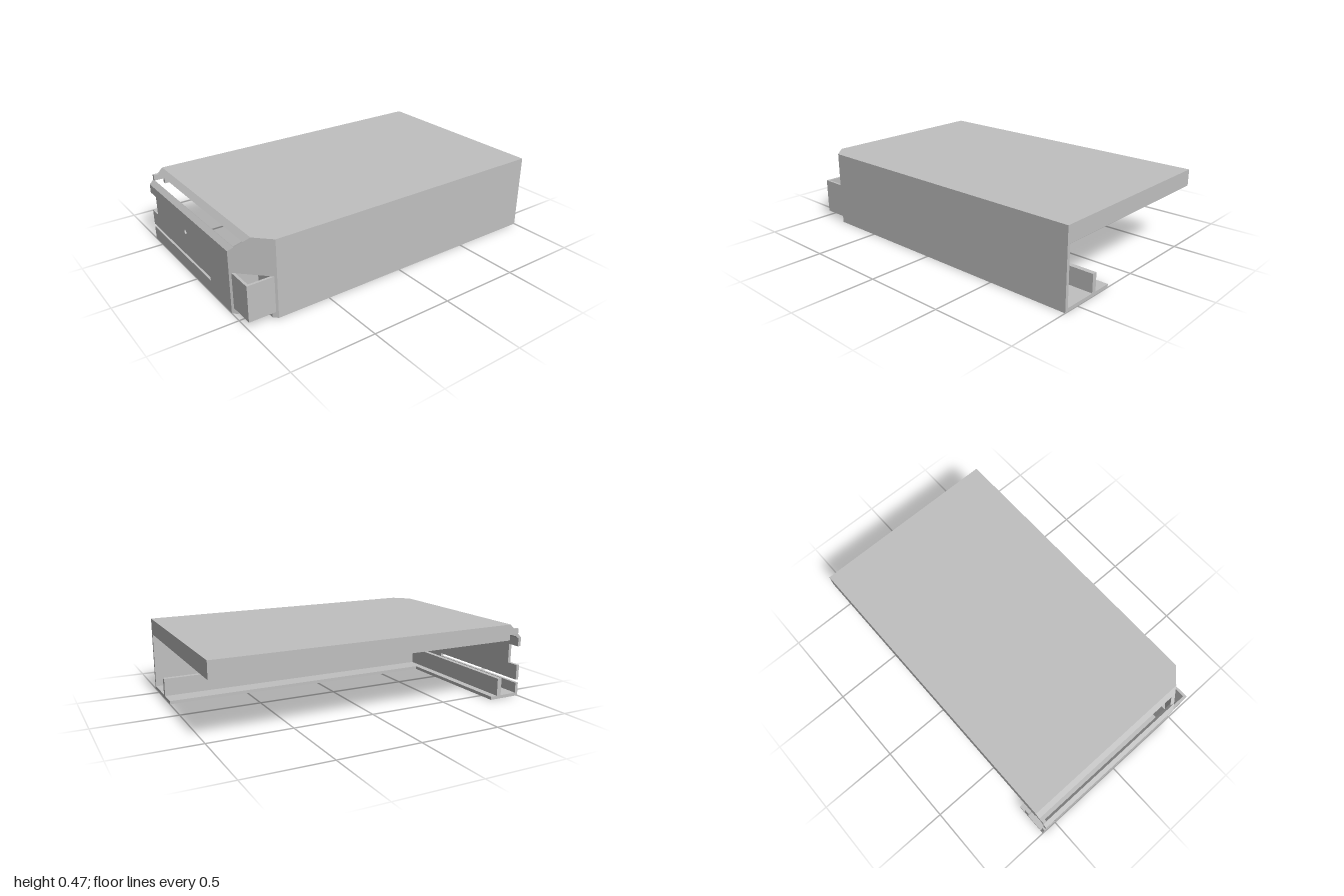
import * as THREE from 'three';

const grey = new THREE.MeshStandardMaterial({ color: 0xc0c0c0 });
grey.name = 'painted sheet grey';

const T = 0.02; // sheet thickness

const shapeOf = (pts) => new THREE.Shape(pts.map(([a, b]) => new THREE.Vector2(a, b)));
const extrude = (shape, depth) =>
  new THREE.ExtrudeGeometry(shape, { depth, bevelEnabled: false, curveSegments: 12 });

export function createModel() {
  const model = new THREE.Group();
  model.name = 'openHousing';

  const add = (name, geometry) => {
    const mesh = new THREE.Mesh(geometry, grey);
    mesh.name = name;
    model.add(mesh);
    return mesh;
  };

  // Box given by its limits on each axis
  const block = (name, [x0, x1], [y0, y1], [z0, z1]) =>
    add(name, new THREE.BoxGeometry(x1 - x0, y1 - y0, z1 - z0)
      .translate((x0 + x1) / 2, (y0 + y1) / 2, (z0 + z1) / 2));

  // Horizontal plate from an [x, z] outline
  const plate = (name, outline, y, h) =>
    add(name, extrude(shapeOf(outline.map(([x, z]) => [x, -z])), h)
      .rotateX(-Math.PI / 2).translate(0, y, 0));

  // Bar along x from a [z, y] section, mitred against the diagonal corner
  const mitredBar = (name, section) => {
    const g = extrude(shapeOf(section.map(([z, y]) => [-z, y])), 1).rotateY(Math.PI / 2);
    const p = g.attributes.position;
    for (let i = 0; i < p.count; i++) {
      p.setX(i, p.getX(i) > 0.5 ? 1.42 - p.getZ(i) : -0.6);
    }
    g.computeVertexNormals();
    return add(name, g);
  };

  // Top and floor
  plate('topPanel', [[-0.6, -1], [0.6, -1], [0.6, 0.82], [0.51, 0.91], [-0.6, 0.91]], 0.465 - T, T);
  plate('floor', [
    [-0.6, 1], [0.42, 1], [0.445, 0.975], [0.445, 0.845], [0.575, 0.845], [0.6, 0.82],
    [0.6, -1], [0.225, -1], [0.225, 0.79], [-0.6, 0.79],
  ], 0, T);

  // Side wall and the lips hanging from the top
  block('sideWall', [0.6 - T, 0.6], [0, 0.465], [-1, 0.82]);
  block('backLip', [-0.6, 0.6], [0.365, 0.465], [-1, -1 + T]);
  block('sideLip', [-0.6, -0.6 + T], [0.365, 0.465], [-1, 0.91]);
  block('sideLipEnd', [-0.6, -0.6 + T], [0.4, 0.435], [0.9, 0.975]);

  // Front panel with edge notch, long slit and round hole
  const front = shapeOf([
    [-0.6, 0], [0.42, 0], [0.42, 0.375], [-0.6, 0.375], [-0.6, 0.32], [-0.52, 0.32],
    [-0.52, 0.2], [-0.6, 0.2], [-0.6, 0.105], [0.187, 0.105], [0.187, 0.085], [-0.6, 0.085],
  ]);
  front.holes.push(new THREE.Path().absarc(-0.105, 0.26, 0.014, 0, Math.PI * 2, true));
  add('frontPanel', extrude(front, T).translate(0, 0, 1 - T));

  // Sloped strips above and below the long top slot
  mitredBar('lowerSlopeStrip', [[1, 0.375], [0.975, 0.4], [0.961, 0.386], [0.972, 0.375]]);
  mitredBar('upperSlopeStrip', [[0.94, 0.435], [0.91, 0.465], [0.896, 0.445], [0.926, 0.421]]);

  // Diagonal corner wall with a doorway for the duct
  const L = 0.18 * Math.SQRT2;
  const corner = shapeOf([
    [0, 0], [0.035, 0], [0.035, 0.25], [L - 0.035, 0.25], [L - 0.035, 0], [L, 0],
    [L, 0.465], [L / 2, 0.465], [0, 0.375],
  ]);
  add('cornerWall', extrude(corner, T).translate(0, 0, -T)
    .rotateY(Math.PI / 4).translate(0.42, 0, 1));

  // Square duct passing through the corner
  block('ductFront', [0.43, 0.59], [0.035, 0.25], [0.975, 0.99]);
  block('ductSide', [0.575, 0.59], [0.035, 0.25], [0.83, 0.975]);
  block('ductInnerBack', [0.43, 0.575], [0, 0.25], [0.83, 0.845]);
  block('ductInnerSide', [0.43, 0.445], [0, 0.25], [0.845, 0.975]);

  // Upright rib following the floor
  plate('floorRib', [
    [-0.6, 0.865], [0.37, 0.865], [0.37, -1], [0.34, -1], [0.34, 0.835], [-0.6, 0.835],
  ], T, 0.11);

  return model;
}
